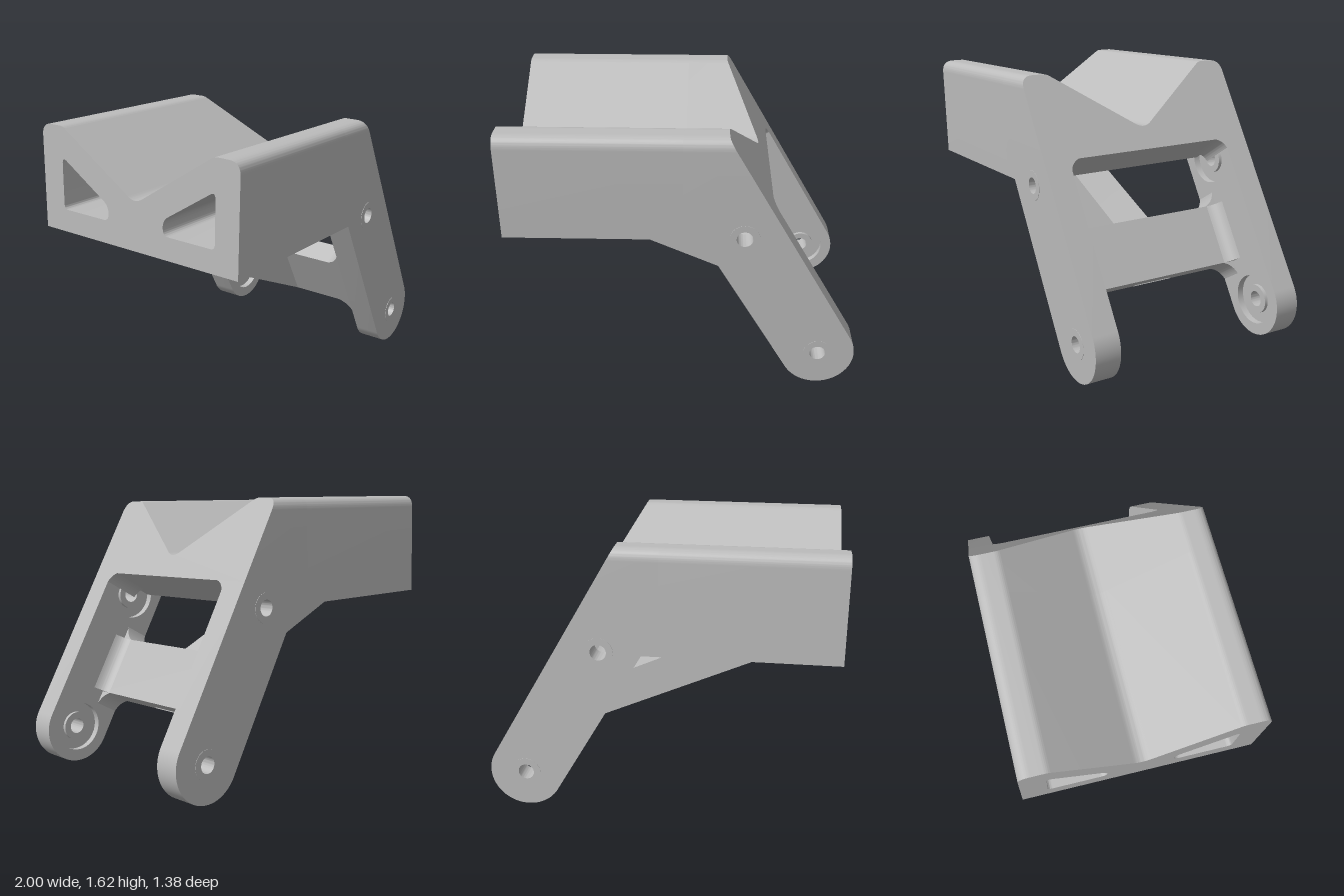
import * as THREE from 'three';
import { toCreasedNormals } from 'three/addons/utils/BufferGeometryUtils.js';

const HALF = 0.67, INNER = 0.52;          // outer and inner faces of the arms
const BASE = 1.0, TOP = 1.6, SPLIT = 1.16; // body heights
const slant = (y) => 0.9715 - (y - 0.3385) * 0.5774; // sloped front edge

// Polygon of [x, y, cornerRadius?] with rounded corners
function poly(pts, Type = THREE.Shape) {
  const s = new Type();
  pts.forEach(([x, y, r = 0], i) => {
    const p = new THREE.Vector2(x, y);
    const toward = (q) => new THREE.Vector2(q[0], q[1]).sub(p).setLength(r).add(p);
    const a = r ? toward(pts[(i + pts.length - 1) % pts.length]) : p;
    if (i === 0) s.moveTo(a.x, a.y); else s.lineTo(a.x, a.y);
    if (r) {
      const b = toward(pts[(i + 1) % pts.length]);
      s.quadraticCurveTo(x, y, b.x, b.y);
    }
  });
  s.closePath();
  return s;
}

// Concave corner filler reaching dx and dy from the corner
function fillet(x, y, dx, dy) {
  const s = new THREE.Shape();
  s.moveTo(x, y);
  s.lineTo(x + dx, y);
  s.quadraticCurveTo(x + dx * 0.25, y + dy * 0.25, x, y + dy);
  s.closePath();
  return s;
}

const extrude = (shape, from, to) => new THREE.ExtrudeGeometry(shape,
  { depth: to - from, bevelEnabled: false, curveSegments: 24 }).translate(0, 0, from);
const alongX = (shape, from, to) => extrude(shape, from, to).rotateY(Math.PI / 2);
const alongY = (shape, from, to) => extrude(shape, from, to).rotateX(-Math.PI / 2);

export function createModel() {
  const grey = new THREE.MeshStandardMaterial({ color: 0xbcbcbc });
  grey.name = 'grey';
  const model = new THREE.Group();
  const tilt = new THREE.Group();
  const bracket = new THREE.Group();
  model.name = 'bracket';
  tilt.name = 'tiltedFrame';
  bracket.name = 'bracketParts';
  // The whole part leans slightly about x
  tilt.position.y = 0.8;
  tilt.rotation.x = 0.03;
  bracket.position.y = -0.8;
  model.add(tilt);
  tilt.add(bracket);

  const add = (name, geo, parent = bracket) => {
    const m = new THREE.Mesh(toCreasedNormals(geo, 0.5), grey);
    m.name = name;
    parent.add(m);
    return m;
  };

  // V-grooved body, given by its lower height
  const bodyShape = (y) => poly([
    [-HALF, y], [HALF, y], [HALF, TOP, 0.07], [0.515, TOP, 0.02],
    [0, 1.265, 0.06], [-0.515, TOP, 0.02], [-HALF, TOP, 0.07],
  ]);
  const rear = bodyShape(BASE);
  for (const s of [-1, 1]) {
    rear.holes.push(poly([
      [s * 0.525, 1.13, 0.03], [s * 0.525, 1.43, 0.04],
      [s * 0.19, 1.215, 0.04], [s * 0.19, 1.13, 0.04],
    ], THREE.Path));
  }
  add('rearBody', alongX(rear, -1, 0));

  // Front of the body, sheared to the slope
  const front = alongX(bodyShape(SPLIT), 0, 1);
  const pos = front.attributes.position;
  for (let i = 0; i < pos.count; i++) {
    if (pos.getX(i) > 0.5) pos.setX(i, slant(pos.getY(i)));
  }
  front.computeVertexNormals();
  add('frontBody', front);
  add('bodyUnderside', extrude(poly([
    [0, BASE], [0.22, BASE], [slant(SPLIT), SPLIT], [0, SPLIT],
  ]), -INNER, INNER));

  // Arms with bearings
  const foot = [0.787, 0.232], shoulder = [0.337, 1.008], R = 0.213;
  const arm = new THREE.Shape();
  arm.moveTo(0, BASE);
  arm.lineTo(0, SPLIT);
  arm.lineTo(slant(SPLIT), SPLIT);
  arm.absarc(foot[0], foot[1], R, Math.PI / 6, -Math.PI * 5 / 6, true);
  arm.lineTo(0.097, BASE);
  arm.closePath();
  const circle = (Type, x, y, r) => new Type().absarc(x, y, r, 0, Math.PI * 2, false);
  for (const [x, y] of [foot, shoulder]) arm.holes.push(circle(THREE.Path, x, y, 0.145));

  const ring = (outer, inner) => {
    const s = circle(THREE.Shape, 0, 0, outer);
    s.holes.push(circle(THREE.Path, 0, 0, inner));
    return s;
  };
  for (const s of [1, -1]) {
    const side = s > 0 ? 'front' : 'back';
    const between = (shape, a, b) => extrude(shape, Math.min(s * a, s * b), Math.max(s * a, s * b));
    add(side + 'Arm', between(arm, INNER, HALF));
    for (const [x, y] of [foot, shoulder]) {
      add(side + 'BearingOuterRing', between(ring(0.145, 0.085), 0.56, HALF)).position.set(x, y, 0);
      add(side + 'BearingHub', between(ring(0.085, 0.046), 0.54, HALF + 0.002)).position.set(x, y, 0);
    }
  }

  // Sloped frame: local x leaves the front slope, local y runs up it
  const slope = new THREE.Group();
  slope.name = 'slopedFrame';
  slope.position.set(slant(SPLIT), SPLIT, 0);
  slope.rotation.z = Math.PI / 6;
  bracket.add(slope);

  // Cross plate between the arms, flared where it meets them
  const hi = -0.33, lo = -0.69, f = 0.08;
  const face = -0.28, back = -0.426;
  add('crossPlate', alongX(poly([
    [-INNER, lo], [INNER, lo], [INNER, hi], [-INNER, hi],
  ]), back, face), slope);
  for (const s of [1, -1]) {
    add('plateUpperFillet', alongX(fillet(s * INNER, hi, -s * f, f), back, face), slope);
    add('plateLowerFillet', alongX(fillet(s * INNER, lo, -s * f, -f), back, face), slope);
    add('plateArmFillet', alongY(fillet(face, s * INNER, 0.07, -s * 0.07), lo, hi), slope);
    add('windowFillet', alongX(fillet(s * INNER, 0, -s * 0.06, -0.06), -0.23, 0), slope);
  }

  // Diagonal brace under the body
  add('brace', extrude(poly([
    [-1, BASE], [-0.25, BASE], [-0.25, 0.915, 0.05], [0.29, 0.672],
    [0.33, 0.655], [0.5, 0.36], [0.474, 0.349],
  ]), -0.12, 0.12));
  for (const s of [1, -1]) {
    add('braceFillet', alongX(fillet(s * 0.12, BASE, s * 0.05, -0.05), -0.86, -0.25));
  }
  return model;
}
